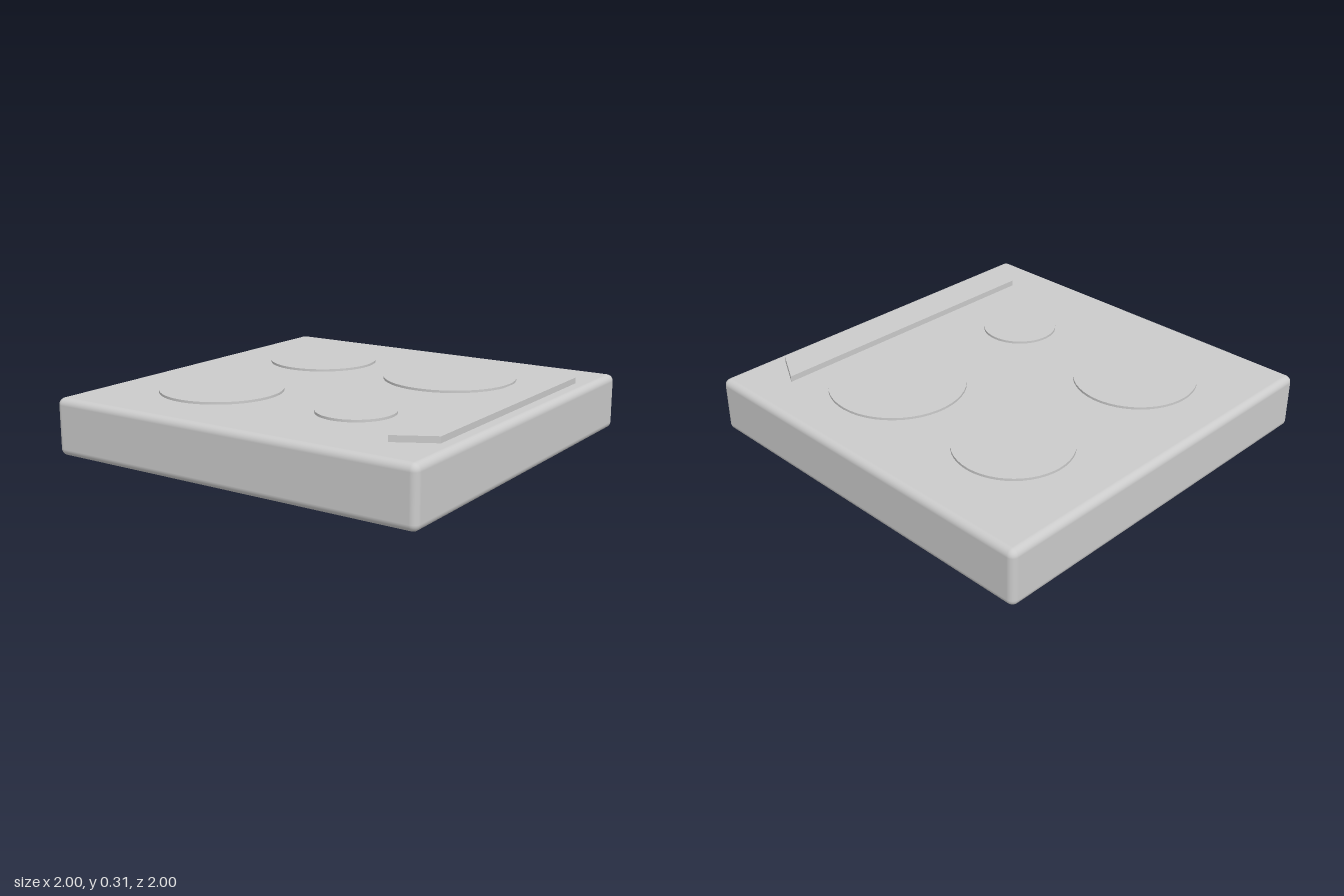
import * as THREE from 'three';
import { RoundedBoxGeometry } from 'three/addons/geometries/RoundedBoxGeometry.js';

export function createModel() {
  const group = new THREE.Group();
  const material = new THREE.MeshStandardMaterial({ color: 0xcccccc });
  const add = (name, geometry, x, y, z) => {
    const mesh = new THREE.Mesh(geometry, material);
    mesh.name = name;
    mesh.position.set(x, y, z);
    group.add(mesh);
    return mesh;
  };

  // Slab with softly rounded edges
  const height = 0.285;
  add('body', new RoundedBoxGeometry(2, height, 2, 4, 0.035), 0, height / 2, 0);

  // Four thin round hotplates: x, z, radius
  const plates = [
    ['backRightHotplate', -0.45, -0.43, 0.285],
    ['backLeftHotplate', 0.338, -0.43, 0.338],
    ['frontRightHotplate', -0.45, 0.43, 0.305],
    ['frontLeftHotplate', 0.338, 0.43, 0.19],
  ];
  for (const [name, x, z, r] of plates) {
    add(name, new THREE.CylinderGeometry(r, r, 0.03, 48), x, 0.282, z);
  }

  // Trapezoid control strip along the left edge
  const outline = new THREE.Shape([
    new THREE.Vector2(0.73, -0.78),
    new THREE.Vector2(0.92, -0.675),
    new THREE.Vector2(0.92, 0.675),
    new THREE.Vector2(0.73, 0.78),
  ]);
  const strip = new THREE.ExtrudeGeometry(outline, { depth: 0.045, bevelEnabled: false });
  strip.rotateX(-Math.PI / 2);
  add('controlStrip', strip, 0, 0.27, 0);

  return group;
}
